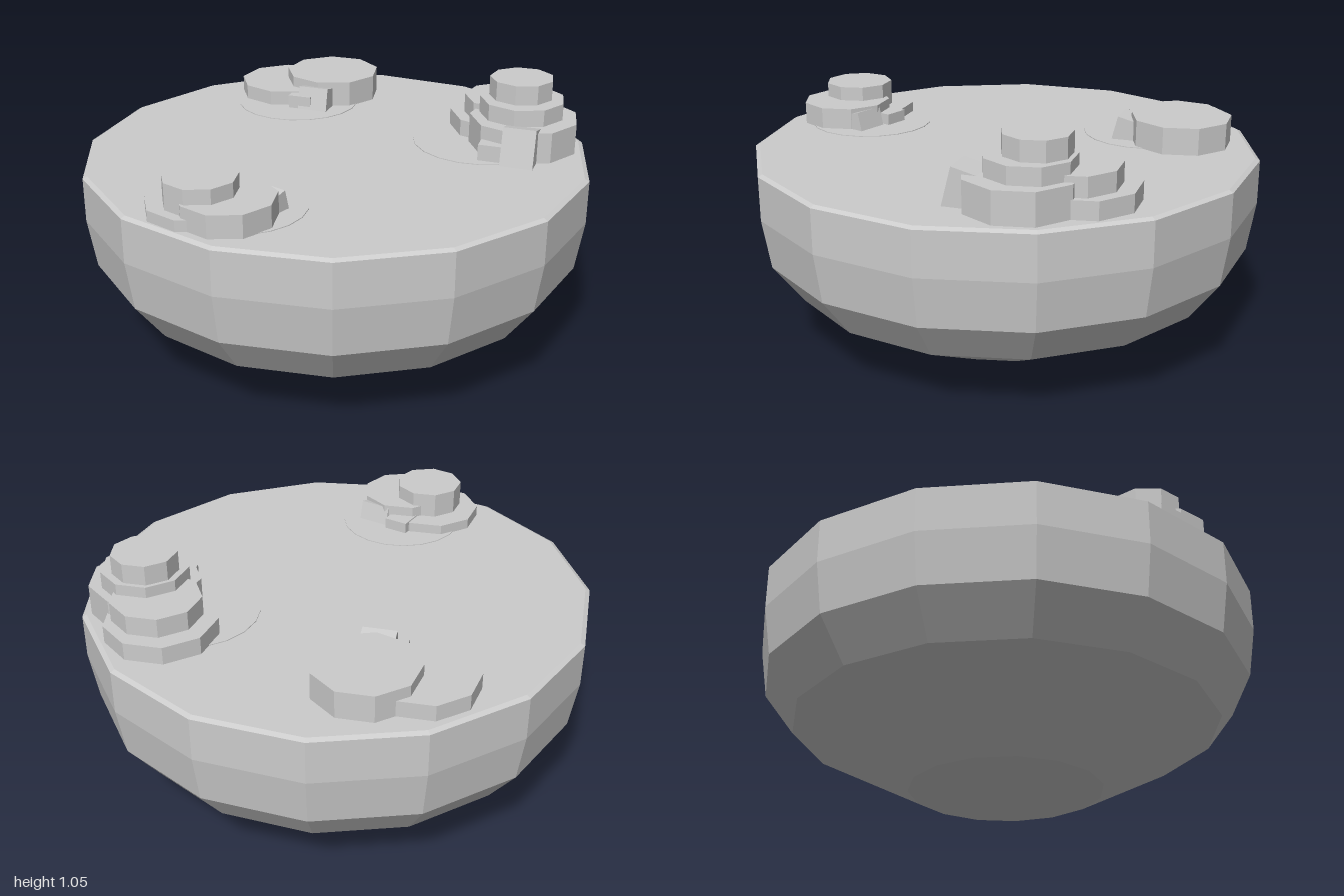
import * as THREE from 'three';

const SIDES = 15, TOP = 0.782, CZ = 0.011;

export function createModel() {
  const group = new THREE.Group();
  const mat = new THREE.MeshStandardMaterial({ color: 0xcccccc, flatShading: true });

  const add = (parent, name, geo, x, y, z) => {
    const mesh = new THREE.Mesh(geo, mat);
    mesh.name = name;
    mesh.position.set(x, y, z);
    parent.add(mesh);
    return mesh;
  };

  // Faceted bowl-shaped island with a slightly bevelled rim and flat top
  const profile = [
    [0, 0], [0.385, 0], [0.855, 0.245], [0.975, 0.405],
    [1.0055, 0.6], [1.0055, 0.773], [0.988, TOP], [0, TOP],
  ].map(([r, y]) => new THREE.Vector2(r, y));
  const island = add(group, 'island', new THREE.LatheGeometry(profile, SIDES), 0, 0, CZ);
  island.rotation.y = Math.PI;

  // Nine-sided rock slabs [x, z, radius, top], leaning boulders
  // [x, z, yaw, width, top, lean] and a thin ground patch [x, z, radius]
  const clusters = [
    {
      name: 'backRocks',
      patch: [-0.05, -0.6, 0.26],
      slabs: [[-0.077, -0.74, 0.203, 0.845], [0.122, -0.685, 0.203, 0.89]],
      boulders: [[0.01, -0.5, -0.54, 0.13, 0.88, -0.25], [-0.04, -0.53, -0.54, 0.1, 0.84, 0]],
    },
    {
      name: 'rightRocks',
      patch: [0.6, 0.03, 0.28],
      slabs: [
        [0.73, -0.105, 0.217, 0.852], [0.737, -0.075, 0.174, 0.928],
        [0.745, 0.115, 0.217, 0.905], [0.745, 0.085, 0.17, 0.972],
        [0.747, 0.06, 0.128, 1.05],
      ],
      boulders: [[0.665, 0.3, -0.54, 0.13, 0.93, -0.25], [0.585, 0.235, -0.54, 0.11, 0.85, 0]],
    },
    {
      name: 'leftRocks',
      patch: [-0.45, 0.5, 0.25],
      slabs: [
        [-0.595, 0.505, 0.199, 0.825], [-0.503, 0.6, 0.18, 0.87],
        [-0.59, 0.537, 0.139, 0.927],
      ],
      boulders: [[-0.362, 0.545, 2.27, 0.13, 0.86, -0.25], [-0.425, 0.435, 2.27, 0.1, 0.83, 0]],
    },
  ];

  const base = TOP - 0.06;
  for (const { name, patch, slabs, boulders } of clusters) {
    const cluster = new THREE.Group();
    cluster.name = name;
    group.add(cluster);

    const [px, pz, pr] = patch;
    add(cluster, 'groundPatch', new THREE.CylinderGeometry(pr, pr, 0.01, 20), px, TOP - 0.002, pz);

    for (const [x, z, r, top] of slabs) {
      const h = top - base;
      const slab = add(cluster, 'rockSlab', new THREE.CylinderGeometry(r, r, h, 9), x, base + h / 2, z);
      slab.rotation.y = Math.PI / 2;
    }

    for (const [x, z, yaw, w, top, lean] of boulders) {
      const h = top - base;
      const rock = add(cluster, 'boulder', new THREE.BoxGeometry(w, h, 0.1), x, base + h / 2 - (lean ? 0.01 : 0), z);
      rock.rotation.set(lean, yaw, 0, 'YXZ');
    }
  }
  return group;
}
